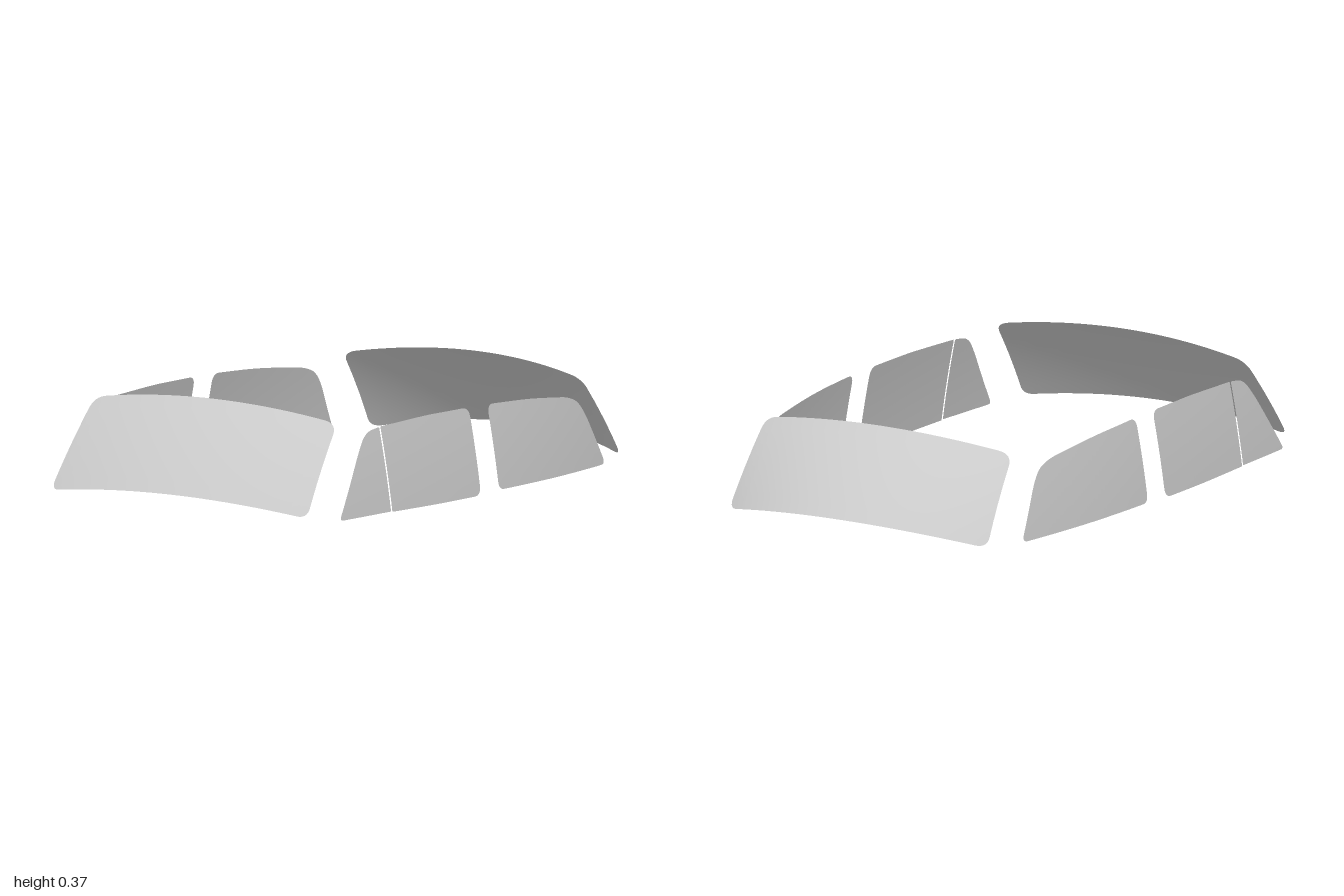
import * as THREE from 'three';

const material = new THREE.MeshStandardMaterial({ color: 0xcccccc, side: THREE.DoubleSide });
const lerp = THREE.MathUtils.lerp;

// Convex outline from corners [u, v, radius], each corner rounded
function roundedOutline(corners) {
  const shape = new THREE.Shape();
  const n = corners.length;
  corners.forEach(([u, v, r], i) => {
    const c = new THREE.Vector2(u, v);
    const toward = (k) => {
      const q = new THREE.Vector2(...corners[(k + n) % n].slice(0, 2)).sub(c);
      return q.setLength(Math.min(r, q.length() * 0.5)).add(c);
    };
    const a = toward(i - 1), b = toward(i + 1);
    if (i === 0) shape.moveTo(a.x, a.y);
    else shape.lineTo(a.x, a.y);
    shape.quadraticCurveTo(u, v, b.x, b.y);
  });
  shape.closePath();
  return shape.getPoints(8);
}

// Lowest and highest v of the outline at a given u
function span(points, u) {
  let lo = Infinity, hi = -Infinity;
  points.forEach((p, i) => {
    const q = points[(i + 1) % points.length];
    if (u < Math.min(p.x, q.x) - 1e-7 || u > Math.max(p.x, q.x) + 1e-7) return;
    const d = q.x - p.x;
    const ends = Math.abs(d) < 1e-6 ? [p.y, q.y] : [lerp(p.y, q.y, (u - p.x) / d)];
    lo = Math.min(lo, ...ends);
    hi = Math.max(hi, ...ends);
  });
  return [lo, hi];
}

// Curved pane: columns across the outline, each point placed by surface(u, v)
function pane(name, corners, surface, flip = false) {
  const outline = roundedOutline(corners);
  const us = outline.map((p) => p.x);
  const min = Math.min(...us), max = Math.max(...us);
  for (let i = 1; i < 32; i++) us.push(lerp(min, max, i / 32));
  us.sort((a, b) => a - b);
  const cols = us.filter((u, i) => i === 0 || u - us[i - 1] > 1e-5);
  const rows = 8, positions = [], index = [];
  cols.forEach((u, i) => {
    const [lo, hi] = span(outline, u);
    for (let j = 0; j <= rows; j++) positions.push(...surface(u, lerp(lo, hi, j / rows)));
    if (i === 0) return;
    for (let j = 0; j < rows; j++) {
      const b = i * (rows + 1) + j, a = b - rows - 1;
      if (flip) index.push(a, b + 1, b, a, a + 1, b + 1);
      else index.push(a, b, b + 1, a, b + 1, a + 1);
    }
  });
  const geometry = new THREE.BufferGeometry();
  geometry.setAttribute('position', new THREE.Float32BufferAttribute(positions, 3));
  geometry.setIndex(index);
  geometry.computeVertexNormals();
  const mesh = new THREE.Mesh(geometry, material);
  mesh.name = name;
  return mesh;
}

// Side glass leans inward with height and bows gently along its length
function sideSurface(side) {
  return (x, y) => {
    const bow = x > 0 ? 0.055 * (x / 0.73) ** 2 : 0.028 * (x / 0.83) ** 2;
    const t = y / 0.3;
    return [x, y, side * (0.62 - bow - 0.04 * t - 0.012 * t * t)];
  };
}

// End glass: bottom and top edges given as [x, y] at the middle and at the ends
function endSurface(dir, { bottomMid, bottomEnd, topMid, topEnd, height }) {
  return (u, v) => {
    const t2 = (u / 0.52) ** 2, s = v / height;
    const at = (k) => lerp(
      lerp(bottomMid[k], bottomEnd[k], t2),
      lerp(topMid[k], topEnd[k], t2), s);
    const bulge = 0.02 * s * (1 - s);
    return [dir * (at(0) + bulge), at(1) + bulge, -dir * u];
  };
}

export function createModel() {
  const group = new THREE.Group();
  group.name = 'cabinGlass';

  // Side windows, mirrored across z
  const quarter = [
    [-0.842, 0.013, 0.02], [-0.566, 0.012, 0.004], [-0.566, 0.297, 0.006],
    [-0.645, 0.288, 0.06], [-0.7, 0.222, 0.04],
  ];
  const rearDoor = [
    [-0.559, 0.01, 0.004], [-0.3, 0.005, 0.03], [-0.062, 0.003, 0.035],
    [-0.062, 0.3, 0.035], [-0.3, 0.304, 0.05], [-0.559, 0.298, 0.006],
  ];
  const frontDoor = [
    [0.044, 0.008, 0.03], [0.4, 0.004, 0.05], [0.74, 0.002, 0.03],
    [0.625, 0.222, 0.08], [0.55, 0.254, 0.05], [0.3, 0.283, 0.1], [0.044, 0.297, 0.035],
  ];
  for (const [label, side] of [['left', 1], ['right', -1]]) {
    // Sides named for +z and -z flanks of the cabin
    const surface = sideSurface(side), flip = side < 0;
    group.add(
      pane(label + 'QuarterWindow', quarter, surface, flip),
      pane(label + 'RearDoorWindow', rearDoor, surface, flip),
      pane(label + 'FrontDoorWindow', frontDoor, surface, flip),
    );
  }

  // Windshield at +x
  group.add(pane('windshield',
    [[-0.52, 0, 0.04], [0.52, 0, 0.04], [0.496, 0.37, 0.05], [-0.496, 0.37, 0.05]],
    endSurface(1, {
      bottomMid: [1.0, 0.06], bottomEnd: [0.89, 0.008],
      topMid: [0.75, 0.337], topEnd: [0.69, 0.287], height: 0.37,
    })));

  // Rear window at -x
  group.add(pane('rearWindow',
    [[-0.532, 0, 0.04], [0.532, 0, 0.04], [0.503, 0.38, 0.05], [-0.503, 0.38, 0.05]],
    endSurface(-1, {
      bottomMid: [1.0, 0.07], bottomEnd: [0.954, 0.032],
      topMid: [0.76, 0.368], topEnd: [0.734, 0.322], height: 0.38,
    })));

  return group;
}
